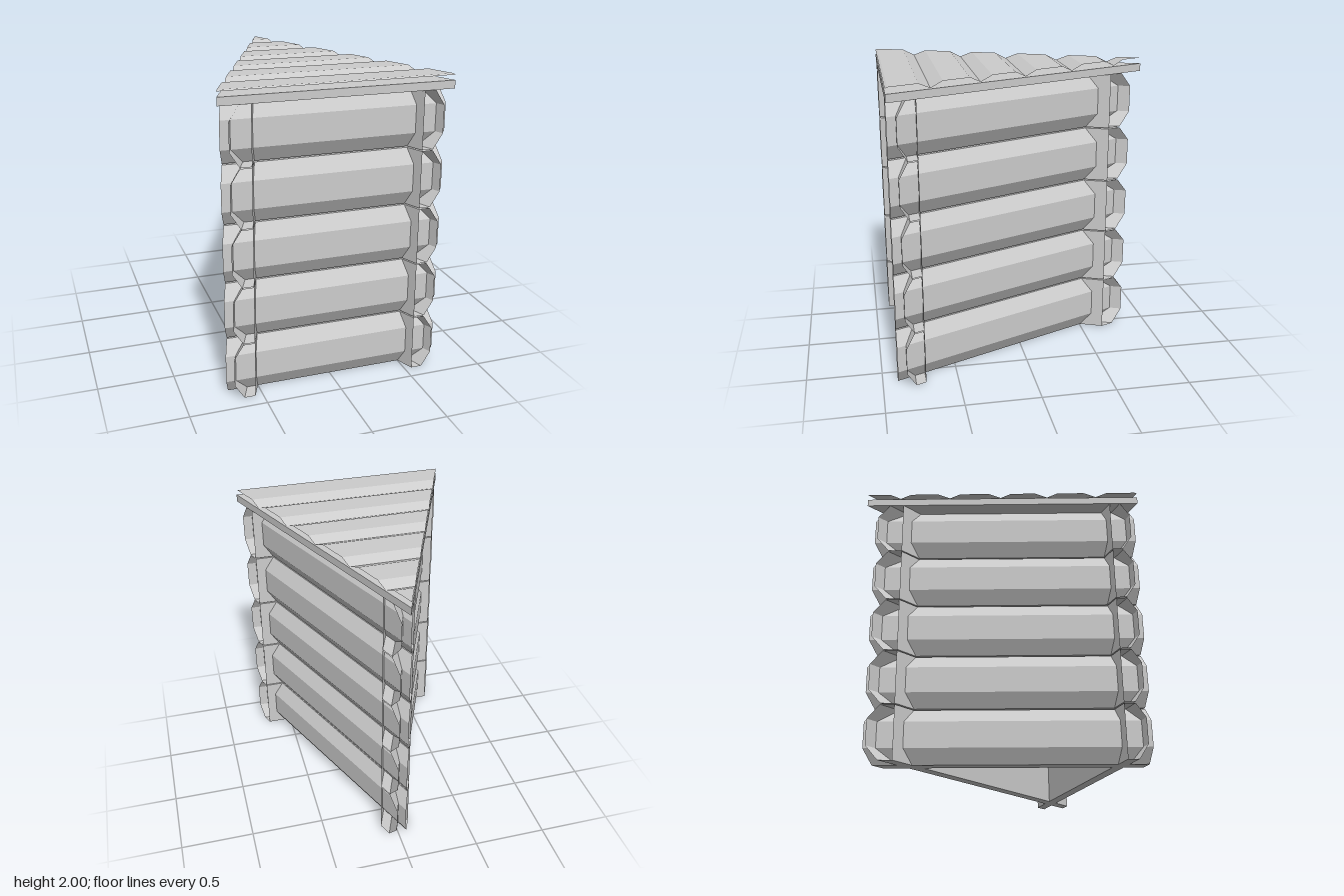
import * as THREE from 'three';

// Plan of the hut: a triangle with its point at the back
const LEFT = new THREE.Vector2(0.75, 0.9);
const RIGHT = new THREE.Vector2(-0.75, 0.9);
const BACK = new THREE.Vector2(0, -0.9);
const AREA2 = 2.7;

// Faceted skin between two matching rows of points
function skin(rowA, rowB, closed) {
  const out = [];
  const count = closed ? rowA.length : rowA.length - 1;
  for (let i = 0; i < count; i++) {
    const j = (i + 1) % rowA.length;
    for (const p of [rowA[i], rowB[i], rowB[j], rowA[i], rowB[j], rowA[j]]) out.push(...p);
  }
  const g = new THREE.BufferGeometry();
  g.setAttribute('position', new THREE.Float32BufferAttribute(out, 3));
  g.computeVertexNormals();
  return g;
}

// Hollow log profile: [inset from the plan edge, height]
const LOG = [[0.185, 0], [0.118, 0], [0.06, 0.098], [0.06, 0.277], [0.118, 0.375], [0.185, 0.375]];

// Hollow log along edge a-b, both open ends trimmed by the plan triangle
function logGeometry(a, b, c) {
  const h = AREA2 / a.distanceTo(b);
  const row = (from) => LOG.map(([inset, y]) => {
    const p = from.clone().lerp(c, inset / h);
    return [p.x, y, p.y];
  });
  return skin(row(a), row(b), true);
}

export function createModel() {
  const model = new THREE.Group();
  const timber = new THREE.MeshStandardMaterial({ color: 0xcccccc, side: THREE.DoubleSide });
  timber.name = 'paleTimber';

  const add = (parent, geometry, name) => {
    const mesh = new THREE.Mesh(geometry, timber);
    mesh.name = name;
    parent.add(mesh);
    return mesh;
  };

  // Three walls of five stacked logs that cross at the corners
  const walls = [
    ['frontWall', RIGHT, LEFT, BACK],
    ['leftWall', LEFT, BACK, RIGHT],
    ['rightWall', BACK, RIGHT, LEFT],
  ];
  for (const [name, a, b, c] of walls) {
    const wall = new THREE.Group();
    wall.name = name;
    const geometry = logGeometry(a, b, c);
    for (let i = 0; i < 5; i++) add(wall, geometry, 'wallLog').position.y = 0.383 * i;
    model.add(wall);
  }

  // Flat triangular board under the roof
  const shape = new THREE.Shape([RIGHT, LEFT, BACK].map((p) => new THREE.Vector2(p.x, -p.y)));
  const board = new THREE.ExtrudeGeometry(shape, { depth: 0.052, bevelEnabled: false });
  board.rotateX(-Math.PI / 2);
  add(model, board, 'roofBoard').position.y = 1.908;

  // Shallow roof slats, trimmed to the triangle
  const roof = new THREE.Group();
  roof.name = 'roofSlats';
  const low = 1.965, high = 2;
  const slats = [[[-0.9, high], [-0.75, high], [-0.68, low]]];
  for (const [z0, z1] of [[-0.68, -0.35], [-0.35, -0.01], [-0.01, 0.3], [0.3, 0.625]]) {
    slats.push([[z0, low], [z0 + 0.07, high], [z1 - 0.08, high], [z1, low]]);
  }
  slats.push([[0.625, low], [0.7, high], [0.885, high], [0.9, 1.993]]);
  for (const profile of slats) {
    const row = (side) => profile.map(([z, y]) => [side * (z + 0.9) * 0.75 / 1.8, y, z]);
    add(roof, skin(row(-1), row(1), false), 'roofSlat');
  }
  model.add(roof);

  return model;
}
